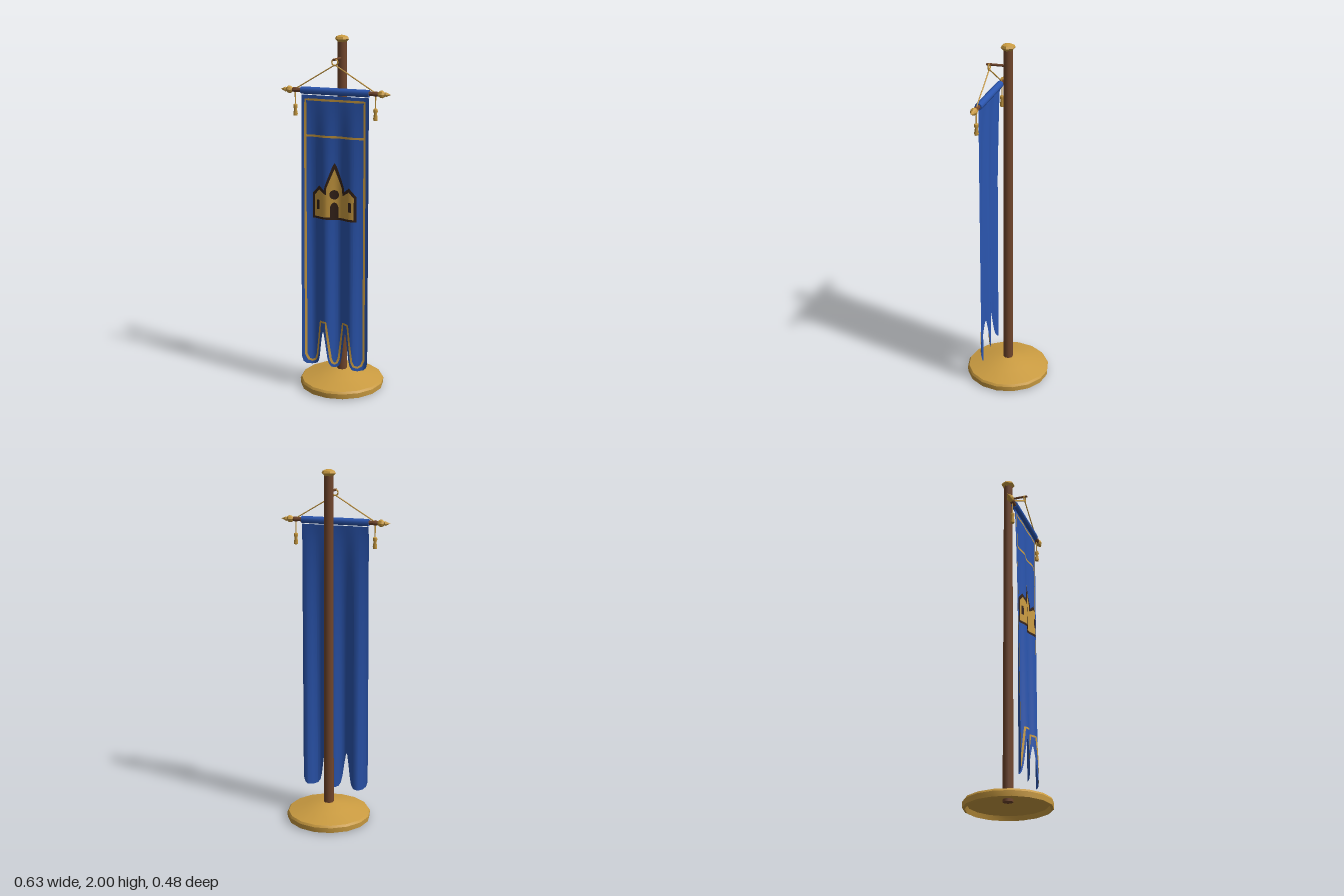
import * as THREE from 'three';
import { toCreasedNormals } from 'three/addons/utils/BufferGeometryUtils.js';

const ROD_Y = 1.71, ROD_Z = 0.103;

const flat = (name, color, side = THREE.FrontSide) => {
  const m = new THREE.MeshStandardMaterial({ color, side });
  m.name = name;
  return m;
};

// Depth of the hanging cloth: folds that deepen towards the hem
const clothZ = (x, y) => {
  const t = Math.pow(Math.max(0, (1.69 - y) / 1.55), 0.65);
  return ROD_Z + t * (0.014 + 0.018 * Math.cos((x - 0.1) * Math.PI * 2 / 0.15));
};

// Half a profile (x >= 0, rising) turned into a symmetric one
const mirror = (half) => [...half.filter((p) => p[0] > 0).map(([x, y]) => [-x, y]).reverse(), ...half];

const heightAt = (pts, x) => {
  for (let i = 1; i < pts.length; i++) {
    const [x0, y0] = pts[i - 1], [x1, y1] = pts[i];
    if (x <= x1 + 1e-9) return y0 + (y1 - y0) * (x - x0) / (x1 - x0);
  }
  return pts[pts.length - 1][1];
};

const gridGeometry = (position, cols, rows) => {
  const index = [];
  for (let i = 0; i < cols; i++) {
    for (let j = 0; j < rows; j++) {
      const a = i * (rows + 1) + j, b = a + rows + 1;
      index.push(a, b, b + 1, a, b + 1, a + 1);
    }
  }
  const g = new THREE.BufferGeometry();
  g.setAttribute('position', new THREE.Float32BufferAttribute(position, 3));
  g.setIndex(index);
  g.computeVertexNormals();
  return g;
};

// Cloth area between a lower and an upper outline, draped on the folds
const patch = (bottom, top, offset, rows) => {
  const x0 = bottom[0][0], x1 = bottom[bottom.length - 1][0];
  const n = Math.max(2, Math.ceil((x1 - x0) / 0.01));
  const xs = [...bottom, ...top].map((p) => p[0]);
  for (let i = 0; i <= n; i++) xs.push(x0 + (x1 - x0) * i / n);
  xs.sort((a, b) => a - b);
  const cols = xs.filter((x, i) => i === 0 || x - xs[i - 1] > 1e-6);
  const position = [];
  for (const x of cols) {
    const lo = heightAt(bottom, x), hi = heightAt(top, x);
    for (let j = 0; j <= rows; j++) {
      const y = lo + (hi - lo) * j / rows;
      position.push(x, y, clothZ(x, y) + offset);
    }
  }
  return gridGeometry(position, cols.length - 1, rows);
};

// Narrow braid following a path on the cloth
const braid = (path, width, closed) => {
  const pts = [];
  const count = closed ? path.length : path.length - 1;
  for (let i = 0; i < count; i++) {
    const a = path[i], b = path[(i + 1) % path.length];
    const n = Math.ceil(Math.hypot(b[0] - a[0], b[1] - a[1]) / 0.02);
    for (let k = 0; k < n; k++) pts.push([a[0] + (b[0] - a[0]) * k / n, a[1] + (b[1] - a[1]) * k / n]);
  }
  pts.push(closed ? pts[0] : path[path.length - 1]);
  const last = pts.length - 1, position = [];
  pts.forEach((p, i) => {
    const a = i > 0 ? pts[i - 1] : closed ? pts[last - 1] : p;
    const b = i < last ? pts[i + 1] : closed ? pts[1] : p;
    const len = Math.hypot(b[0] - a[0], b[1] - a[1]);
    const nx = -(b[1] - a[1]) / len, ny = (b[0] - a[0]) / len;
    for (const s of [-0.5, 0.5]) {
      const x = p[0] + nx * width * s, y = p[1] + ny * width * s;
      position.push(x, y, clothZ(x, y) + 0.003);
    }
  });
  return gridGeometry(position, last, 1);
};

const lathe = (profile, sides) => toCreasedNormals(
  new THREE.LatheGeometry(profile.map(([r, y]) => new THREE.Vector2(r, y)), sides), 0.6);

export function createModel() {
  const model = new THREE.Group();
  model.name = 'bannerStand';
  const gold = flat('gold', 0xcb9c41, THREE.DoubleSide);
  const wood = flat('wood', 0x71462c);
  const blue = flat('blueCloth', 0x2b56b0, THREE.DoubleSide);
  const dark = flat('darkBrown', 0x35231a, THREE.DoubleSide);

  const add = (name, geometry, material, parent = model) => {
    const m = new THREE.Mesh(geometry, material);
    m.name = name;
    parent.add(m);
    return m;
  };
  const bar = (name, a, b, r, material, parent = model, sides = 6) => {
    const from = new THREE.Vector3(...a), dir = new THREE.Vector3(...b).sub(from);
    const m = add(name, new THREE.CylinderGeometry(r, r, dir.length(), sides), material, parent);
    m.position.copy(from).addScaledVector(dir, 0.5);
    m.quaternion.setFromUnitVectors(new THREE.Vector3(0, 1, 0), dir.normalize());
    return m;
  };

  // Hollow base, pole and knob
  add('base', lathe([[0.028, 0.055], [0.215, 0.025], [0.225, 0], [0.238, 0.006], [0.24, 0.035],
    [0.232, 0.047], [0.13, 0.074], [0.05, 0.095], [0.025, 0.097]], 16), gold);
  const pole = add('pole', new THREE.CylinderGeometry(0.025, 0.029, 1.93, 8), wood);
  pole.position.y = 1.005;
  pole.rotation.y = Math.PI / 8;
  add('poleKnob', lathe([[0, 1.96], [0.024, 1.963], [0.04, 1.98], [0.034, 1.992], [0.015, 2], [0, 2]], 6), gold)
    .rotation.y = Math.PI / 6;

  // Hook arm with hanging ring
  bar('hookArm', [0, 1.88, 0], [0, 1.88, 0.118], 0.007, wood);
  const ring = add('hangingRing', new THREE.TorusGeometry(0.017, 0.004, 6, 12), gold);
  ring.position.set(0, 1.866, ROD_Z);

  // Crossbar in its cloth sleeve
  bar('crossbar', [-0.2, ROD_Y, ROD_Z], [0.2, ROD_Y, ROD_Z], 0.011, wood);
  bar('clothSleeve', [-0.194, ROD_Y, ROD_Z], [0.194, ROD_Y, ROD_Z], 0.02, blue, model, 10);

  // Bar ends, ropes and tassels on both sides
  for (const s of [1, -1]) {
    const side = new THREE.Group();
    side.name = s > 0 ? 'leftBarEnd' : 'rightBarEnd';
    model.add(side);
    const end = new THREE.Group();
    end.name = 'turnedEnd';
    end.position.set(0, ROD_Y, ROD_Z);
    end.rotation.z = -s * Math.PI / 2;
    side.add(end);
    add('woodCollar', lathe([[0.012, 0.19], [0.011, 0.215], [0.015, 0.23], [0.011, 0.246]], 8), wood, end);
    add('spearTip', lathe([[0, 0.242], [0.01, 0.243], [0.019, 0.256], [0.02, 0.27], [0.01, 0.283],
      [0.013, 0.288], [0, 0.315]], 8), gold, end);
    bar('rope', [0, 1.852, ROD_Z], [s * 0.222, ROD_Y + 0.01, ROD_Z], 0.0035, gold, side);
    bar('tasselString', [s * 0.23, ROD_Y, ROD_Z], [s * 0.23, 1.625, ROD_Z], 0.0035, gold, side);
    const tassel = add('tassel', lathe([[0, 1.568], [0.011, 1.57], [0.013, 1.58], [0.008, 1.607],
      [0.013, 1.618], [0.012, 1.63], [0, 1.637]], 8), gold, side);
    tassel.position.set(s * 0.23, 0, ROD_Z);
  }

  // Banner with three rounded tails
  const hem = mirror([[0, 0.14], [0.018, 0.147], [0.03, 0.168], [0.038, 0.205], [0.05, 0.29], [0.061, 0.35],
    [0.068, 0.35], [0.078, 0.29], [0.09, 0.205], [0.099, 0.168], [0.113, 0.148], [0.14, 0.14],
    [0.167, 0.144], [0.184, 0.16], [0.193, 0.19]]);
  add('bannerCloth', patch(hem, [[-0.193, 1.686], [0.193, 1.686]], 0, 36), blue);

  // Gold braid around the edge and across the top
  const edge = mirror([[0, 0.163], [0.011, 0.17], [0.02, 0.195], [0.033, 0.3], [0.047, 0.41], [0.083, 0.41],
    [0.096, 0.3], [0.109, 0.2], [0.12, 0.172], [0.139, 0.163], [0.157, 0.172], [0.17, 0.205], [0.1701, 1.662]]);
  add('edgeBraid', braid(edge, 0.012, true), gold);
  add('crossBraid', braid([[-0.17, 1.466], [0.17, 1.466]], 0.012, false), gold);

  // Castle emblem: dark backing, gold walls, dark openings
  const level = (y, w, x = 0) => [[x - w, y], [x + w, y]];
  const emblem = new THREE.Group();
  emblem.name = 'castleEmblem';
  model.add(emblem);
  add('castleOutline', patch(level(1.008, 0.13), mirror([[0, 1.325], [0.012, 1.305], [0.055, 1.19],
    [0.058, 1.17], [0.088, 1.195], [0.13, 1.15]]), 0.004, 8), dark, emblem);
  add('castleWalls', patch(level(1.021, 0.117), mirror([[0, 1.292], [0.043, 1.185], [0.046, 1.145],
    [0.088, 1.172], [0.117, 1.142]]), 0.006, 8), gold, emblem);
  add('castleDoor', patch(level(1.02, 0.023), mirror([[0, 1.108], [0.012, 1.102], [0.023, 1.08]]), 0.008, 4),
    dark, emblem);
  for (const s of [-1, 1]) {
    add('castleWindow', patch(level(1.062, 0.009, s * 0.094), level(1.115, 0.009, s * 0.094), 0.008, 3), dark, emblem);
  }
  const arc = (sign) => Array.from({ length: 13 }, (_, i) => {
    const a = Math.PI * (1 - i / 12);
    return [0.026 * Math.cos(a), 1.15 + sign * 0.026 * Math.sin(a)];
  });
  add('castleRoundWindow', patch(arc(-1), arc(1), 0.008, 4), dark, emblem);

  return model;
}
